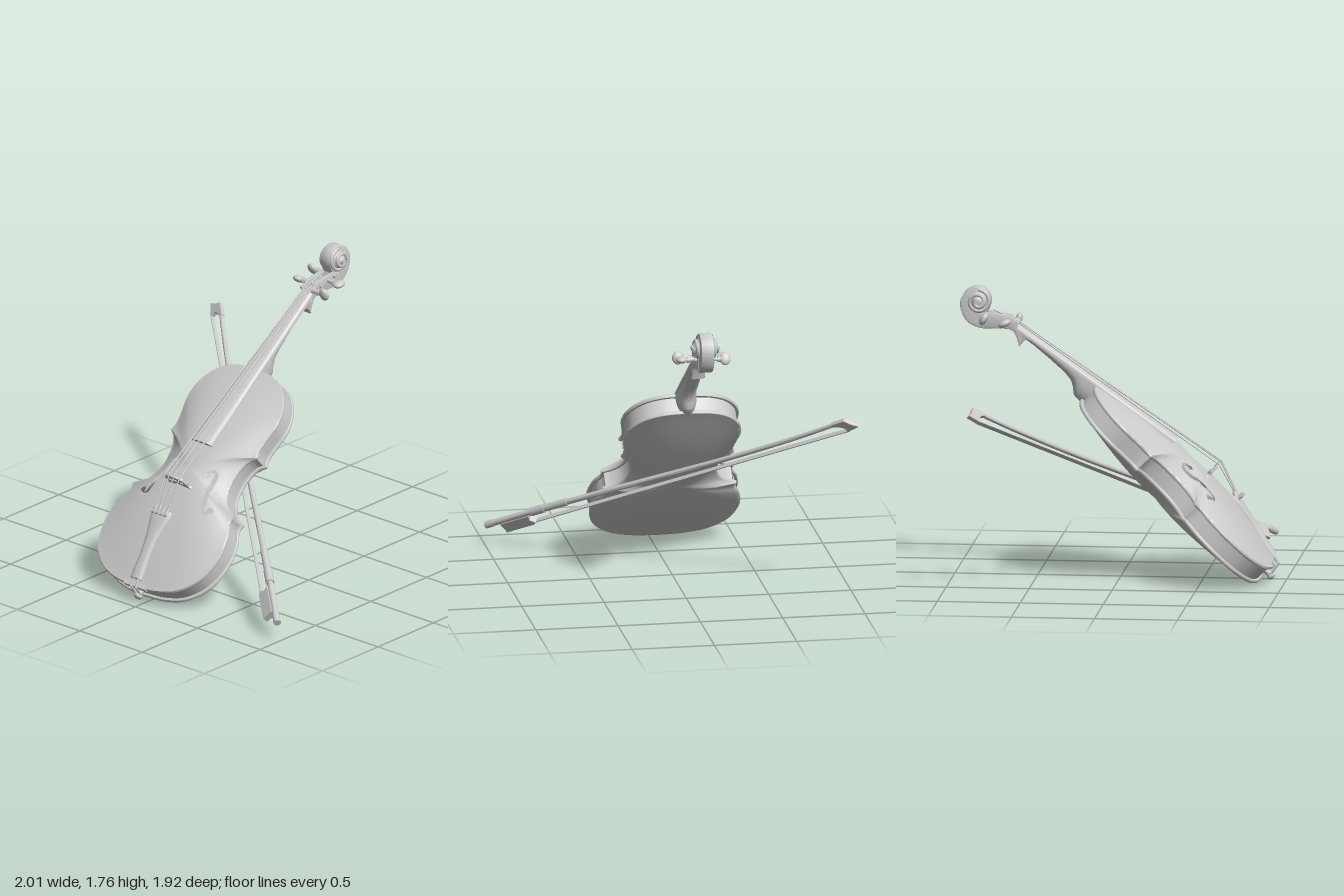
import * as THREE from 'three';
import { toCreasedNormals } from 'three/addons/utils/BufferGeometryUtils.js';

const material = new THREE.MeshStandardMaterial({ color: 0xcccccc, side: THREE.DoubleSide });
const V = (x, y, z) => new THREE.Vector3(x, y, z);

function add(parent, name, geometry) {
  const mesh = new THREE.Mesh(geometry, material);
  mesh.name = name;
  parent.add(mesh);
  return mesh;
}

// Skin a list of closed rings; skip(centroid) leaves openings.
function loft(rings, { caps = true, crease = 0.7, skip = null } = {}) {
  if (caps) {
    const flat = (ring) => {
      const c = ring.reduce((a, p) => a.add(p), V(0, 0, 0)).divideScalar(ring.length);
      return ring.map(() => c);
    };
    rings = [flat(rings[0]), ...rings, flat(rings.at(-1))];
  }
  const n = rings[0].length, pts = rings.flat(), index = [];
  const tri = (a, b, c) => {
    const mid = V(0, 0, 0).add(pts[a]).add(pts[b]).add(pts[c]).divideScalar(3);
    if (!skip || !skip(mid)) index.push(a, b, c);
  };
  for (let r = 0; r < rings.length - 1; r++) for (let i = 0; i < n; i++) {
    const a = r * n + i, b = r * n + (i + 1) % n;
    tri(a, b, b + n);
    tri(a, b + n, a + n);
  }
  const g = new THREE.BufferGeometry().setFromPoints(pts);
  g.setIndex(index);
  return toCreasedNormals(g, crease);
}

function rod(parent, name, a, b, r, r2 = r) {
  const g = new THREE.CylinderGeometry(r2, r, a.distanceTo(b), 12);
  const mesh = add(parent, name, g);
  mesh.position.copy(a).add(b).multiplyScalar(0.5);
  mesh.quaternion.setFromUnitVectors(V(0, 1, 0), b.clone().sub(a).normalize());
  return mesh;
}

// Body outline: lower bout, waist, upper bout, then mirrored
function bodyOutline() {
  const run = (n, list) => new THREE.CatmullRomCurve3(list.map(([x, y]) => V(x, y, 0))).getSpacedPoints(n);
  const half = [
    ...run(50, [[0, -.585], [.15, -.574], [.29, -.53], [.405, -.42], [.452, -.25], [.43, -.1], [.392, -.02], [.402, .022]]),
    ...run(64, [[.402, .022], [.36, .04], [.305, .085], [.268, .16], [.26, .25], [.274, .33], [.3, .38], [.34, .412]]).slice(1),
    ...run(46, [[.34, .412], [.327, .45], [.335, .53], [.352, .65], [.33, .76], [.255, .865], [.15, .918], [0, .935]]).slice(1),
  ];
  return [...half, ...half.slice(1, -1).reverse().map((p) => V(-p.x, p.y, 0))];
}
const outline = bodyOutline(), count = outline.length;
const at = (i) => outline[(i + count) % count];
const offset = (d, z) => outline.map((p, i) => {
  const t = at(i + 1).clone().sub(at(i - 1)).normalize();
  return V(p.x + t.y * d, p.y - t.x * d, z);
});
const softOutline = outline.map((_, i) => {
  const sum = V(0, 0, 0);
  for (let k = -14; k <= 14; k++) sum.add(at(i + k));
  return sum.divideScalar(29);
});

// Signed distance to the sound holes (same on both sides)
const holePath = new THREE.CatmullRomCurve3([[.128, .192], [.13, .218], [.153, .232], [.174, .212], [.18, .165],
  [.195, .09], [.208, .02], [.226, -.032], [.252, -.036], [.264, -.01]].map(([x, y]) => V(x, y, 0))).getSpacedPoints(60);
function holeDistance(x, y) {
  const p = V(Math.abs(x), y, 0);
  const stem = Math.min(...holePath.map((q) => p.distanceTo(q))) - 0.0105;
  return Math.min(stem, p.distanceTo(holePath[0]) - 0.018, p.distanceTo(holePath[60]) - 0.02);
}

// Arched plate; the front one is cut by the sound holes
function plate(rim, dir, steps, holes) {
  const rings = [], e = 0.001;
  for (let k = 0; k <= steps; k++) {
    const s = k / steps, z = rim + dir * 0.092 * (1 - s * s) ** 1.15;
    rings.push(outline.map((o, i) => {
      const p = o.clone().lerp(softOutline[i], 1 - s);
      const q = V(p.x * s, 0.2 + (p.y - 0.2) * s, z);
      const d = holes ? holeDistance(q.x, q.y) : 1;
      if (Math.abs(d) < 0.005) {
        const gx = (holeDistance(q.x + e, q.y) - d) / e, gy = (holeDistance(q.x, q.y + e) - d) / e;
        q.x -= gx * d;
        q.y -= gy * d;
      }
      return q;
    }));
  }
  rings.push(offset(0.005, rim - dir * 0.007), offset(0.005, rim - dir * 0.017), offset(0, rim - dir * 0.023), offset(-0.03, rim - dir * 0.023));
  return loft(rings, { caps: false, skip: holes ? (c) => c.z > rim && holeDistance(c.x, c.y) < 0 : null });
}

// D-shaped ring across the instrument: flat at z, bulging by h
const dRing = (y, hw, z, h, power = 0.5) => Array.from({ length: 21 }, (_, i) => {
  const a = Math.PI * i / 20;
  return V(hw * Math.cos(a), y, z + h * Math.max(0, Math.sin(a)) ** power);
});

// Side profiles are given as (z, y) of the leaning instrument
const lean = ([z, y]) => new THREE.Vector2((y - z) * Math.SQRT1_2, (y + z) * Math.SQRT1_2);
const sideways = new THREE.Matrix4().makeBasis(V(0, 1, 0), V(0, 0, 1), V(1, 0, 0));
function sidePlate(shape, x0, x1, bevel = 0.005) {
  const g = new THREE.ExtrudeGeometry(shape, { depth: x1 - x0 - 2 * bevel, bevelSize: bevel, bevelThickness: bevel,
    bevelOffset: -bevel, bevelSegments: 2, curveSegments: 8 });
  return toCreasedNormals(g.translate(0, 0, x0 + bevel).applyMatrix4(sideways), 0.6);
}

function head(parent) {
  // Pegbox floor and scroll
  const core = new THREE.Shape();
  const line = (list) => list.map(lean).forEach((p) => core.lineTo(p.x, p.y));
  const start = lean([-.527, 1.453]);
  core.moveTo(start.x, start.y);
  line([[-.61, 1.535], [-.62, 1.53], [-.67, 1.54], [-.77, 1.555], [-.797, 1.605]]);
  core.splineThru([[-.773, 1.68], [-.8, 1.742], [-.86, 1.767], [-.928, 1.735], [-.96, 1.66], [-.928, 1.566],
    [-.85, 1.519], [-.753, 1.514], [-.665, 1.511], [-.628, 1.483], [-.603, 1.406]].map(lean));
  core.splineThru([[-.567, 1.447], [-.526, 1.437]].map(lean));
  add(parent, 'scroll', sidePlate(core, -0.04, 0.04, 0.008));
  const cheek = new THREE.Shape([[-.605, 1.55], [-.65, 1.592], [-.72, 1.606], [-.8, 1.615], [-.85, 1.6], [-.85, 1.53],
    [-.753, 1.519], [-.665, 1.516], [-.62, 1.5]].map(lean));
  const eye = lean([-.85, 1.678]);
  for (const side of [-1, 1]) {
    add(parent, 'pegboxCheek', sidePlate(cheek, side * 0.036 - 0.008, side * 0.036 + 0.008, 0.003));
    // Volute winding outwards to its eye
    const turns = Array.from({ length: 41 }, (_, i) => {
      const t = i / 40, a = 0.8 + t * Math.PI * 3.6, r = 0.07 * (1 - t) + 0.02 * t;
      return V(side * (0.035 + 0.04 * t), eye.x + r * Math.cos(a), eye.y + r * Math.sin(a));
    });
    add(parent, 'volute', new THREE.TubeGeometry(new THREE.CatmullRomCurve3(turns), 90, 0.012, 8));
    rod(parent, 'voluteCone', V(side * 0.03, eye.x, eye.y), V(side * 0.075, eye.x, eye.y), 0.07, 0.02);
    rod(parent, 'voluteEye', V(side * 0.06, eye.x, eye.y), V(side * 0.086, eye.x, eye.y), 0.02, 0.016);
  }
  // Tuning pegs, alternating sides
  [[-.62, 1.55, 1, 0.2], [-.682, 1.562, -1, 1.1], [-.753, 1.576, 1, 1.7], [-.806, 1.588, -1, 0.5]].forEach(([z, y, side, turn]) => {
    const c = lean([z, y]);
    const peg = new THREE.Group();
    peg.name = 'tuningPeg';
    peg.position.set(0, c.x, c.y);
    peg.rotation.x = turn + Math.PI / 4;
    rod(peg, 'pegShaft', V(-side * 0.058, 0, 0), V(side * 0.11, 0, 0), 0.01, 0.014);
    rod(peg, 'pegCollar', V(side * 0.082, 0, 0), V(side * 0.094, 0, 0), 0.019);
    add(peg, 'pegHead', new THREE.SphereGeometry(1, 20, 14).scale(0.034, 0.04, 0.021)).position.x = side * 0.128;
    parent.add(peg);
  });
}

function violin() {
  const g = new THREE.Group();
  g.name = 'violin';
  add(g, 'frontPlate', plate(0.738, 1, 64, true));
  add(g, 'backPlate', plate(0.597, -1, 18, false));
  add(g, 'ribs', loft([offset(-0.014, 0.61), offset(-0.014, 0.725)], { caps: false }));

  // Neck, fingerboard and nut
  const top = (y) => 0.865 - 0.174 * (y - 0.362);
  const neck = [[.9, .062, .592], [.975, .06, .59], [.995, .057, .598], [1.02, .053, .622], [1.06, .049, .643], [1.12, .046, .65],
    [1.25, .043, .643], [1.36, .04, .633], [1.44, .039, .62]];
  add(g, 'neck', loft(neck.map(([y, hw, low]) => dRing(y, hw, top(y) - 0.03, low - top(y) + 0.03, 0.8))));
  add(g, 'fingerboard', loft([.362, .7, 1.1, 1.52].map((y) => dRing(y, 0.078 - 0.03 * (y - 0.362), top(y) - 0.034, 0.034))));
  add(g, 'nut', loft([1.518, 1.535].map((y) => dRing(y, 0.043, 0.625, 0.044))));
  head(g);

  // Bridge with feet and cut-outs
  const b = new THREE.Shape();
  b.moveTo(-.095, .815);
  b.lineTo(-.05, .82);
  b.quadraticCurveTo(0, .87, .05, .82);
  b.lineTo(.095, .815);
  b.lineTo(.09, .832);
  b.quadraticCurveTo(.07, .845, .082, .87);
  b.lineTo(.072, .922);
  b.quadraticCurveTo(0, .965, -.072, .922);
  b.lineTo(-.082, .87);
  b.quadraticCurveTo(-.07, .845, -.09, .832);
  for (const [x, y, r] of [[0, .893, .015], [-.045, .88, .013], [.045, .88, .013]]) b.holes.push(new THREE.Path().absarc(x, y, r, 0, Math.PI * 2, true));
  const bridge = new THREE.ExtrudeGeometry(b, { depth: 0.016, bevelEnabled: false });
  add(g, 'bridge', toCreasedNormals(bridge.rotateX(Math.PI / 2).translate(0, 0.088, 0), 0.5));

  // Tailpiece, saddle and end button
  const tail = [[-.55, .043, .762], [-.5, .043, .774], [-.4, .037, .796], [-.3, .044, .818], [-.2, .065, .838], [-.15, .076, .848], [-.119, .072, .852]];
  add(g, 'tailpiece', loft(tail.map(([y, hw, z]) => dRing(y, hw, z, 0.024, 0.7))));
  add(g, 'saddle', new THREE.BoxGeometry(0.17, 0.03, 0.035)).position.set(0, -0.578, 0.735);
  rod(g, 'endButton', V(0, -0.57, 0.67), V(0, -0.615, 0.67), 0.018);
  add(g, 'endButtonHead', new THREE.SphereGeometry(0.028, 18, 12).scale(1, 0.7, 1)).position.set(0, -0.618, 0.67);
  for (const s of [-1, 1]) {
    rod(g, 'tailLoop', V(s * 0.018, -0.53, 0.775), V(s * 0.02, -0.597, 0.755), 0.007);
    rod(g, 'tailLoop', V(s * 0.02, -0.597, 0.755), V(s * 0.018, -0.61, 0.67), 0.007);
  }

  // Strings with fine tuners, running into the pegbox
  const pegEnds = [1.6, 1.69, 1.65, 1.56];
  for (let i = 0; i < 4; i++) {
    const k = i - 1.5, lift = -0.006 * k * k;
    const path = [V(k * 0.031, -0.14, 0.868), V(k * 0.038, 0.08, 0.948 + lift), V(k * 0.017, 1.527, 0.674 + lift * 0.5), V(k * 0.013, pegEnds[i], 0.61)];
    for (let j = 0; j < 3; j++) rod(g, 'string', path[j], path[j + 1], 0.0038);
    rod(g, 'fineTuner', V(k * 0.031, -0.145, 0.855), V(k * 0.031, -0.15, 0.897), 0.008, 0.011);
    rod(g, 'tunerArm', V(k * 0.031, -0.15, 0.865), V(k * 0.031, -0.1, 0.872), 0.009);
  }
  g.rotation.x = -Math.PI / 4;
  g.position.x = -0.055;
  return g;
}

// Bow: local x runs from screw to tip, hair hangs below
function bow() {
  const g = new THREE.Group();
  g.name = 'bow';
  const camber = new THREE.CatmullRomCurve3([[0.04, 0], [.4, 0], [1.1, -.012], [1.8, -.026], [2.3, -.02], [2.69, 0]].map(([x, y]) => V(x, y, 0)));
  const stick = camber.getPoints(40).map((p, i) => Array.from({ length: 14 }, (_, k) => {
    const a = k / 14 * Math.PI * 2, r = 0.02 - 0.007 * i / 40;
    return V(p.x, p.y + r * Math.cos(a), r * Math.sin(a));
  }));
  add(g, 'stick', loft(stick));
  rod(g, 'screwButton', V(-0.012, 0, 0), V(0.05, 0, 0), 0.023);
  rod(g, 'grip', V(0.33, 0, 0), V(0.43, 0, 0), 0.027);
  rod(g, 'lapping', V(0.43, 0, 0), V(0.6, -0.002, 0), 0.023);
  const block = (name, points, depth) => {
    const geo = new THREE.ExtrudeGeometry(new THREE.Shape(points.map(([x, y]) => new THREE.Vector2(x, y))),
      { depth, bevelSize: 0.003, bevelThickness: 0.003, bevelSegments: 1 });
    add(g, name, toCreasedNormals(geo.translate(0, 0, -depth / 2), 0.5));
  };
  block('frog', [[.09, -.012], [.09, -.088], [.29, -.088], [.31, -.075], [.285, -.045], [.3, -.012]], 0.036);
  block('bowTip', [[2.6, -.012], [2.64, -.025], [2.665, -.05], [2.66, -.08], [2.755, -.064], [2.72, -.03], [2.695, .012], [2.6, .008]], 0.022);
  add(g, 'hair', new THREE.BoxGeometry(2.4, 0.006, 0.028)).position.set(1.48, -0.078, 0);
  const along = V(-.703, .381, -.601).normalize();
  const across = V(0, 0, 0).crossVectors(along, V(.627, .732, -.268)).normalize();
  const up = V(0, 0, 0).crossVectors(across, along);
  g.quaternion.setFromRotationMatrix(new THREE.Matrix4().makeBasis(along, up, across));
  g.position.set(0.98, 0.13, 0.825);
  return g;
}

export function createModel() {
  const model = new THREE.Group();
  model.name = 'violinWithBow';
  model.add(violin(), bow());
  return model;
}
